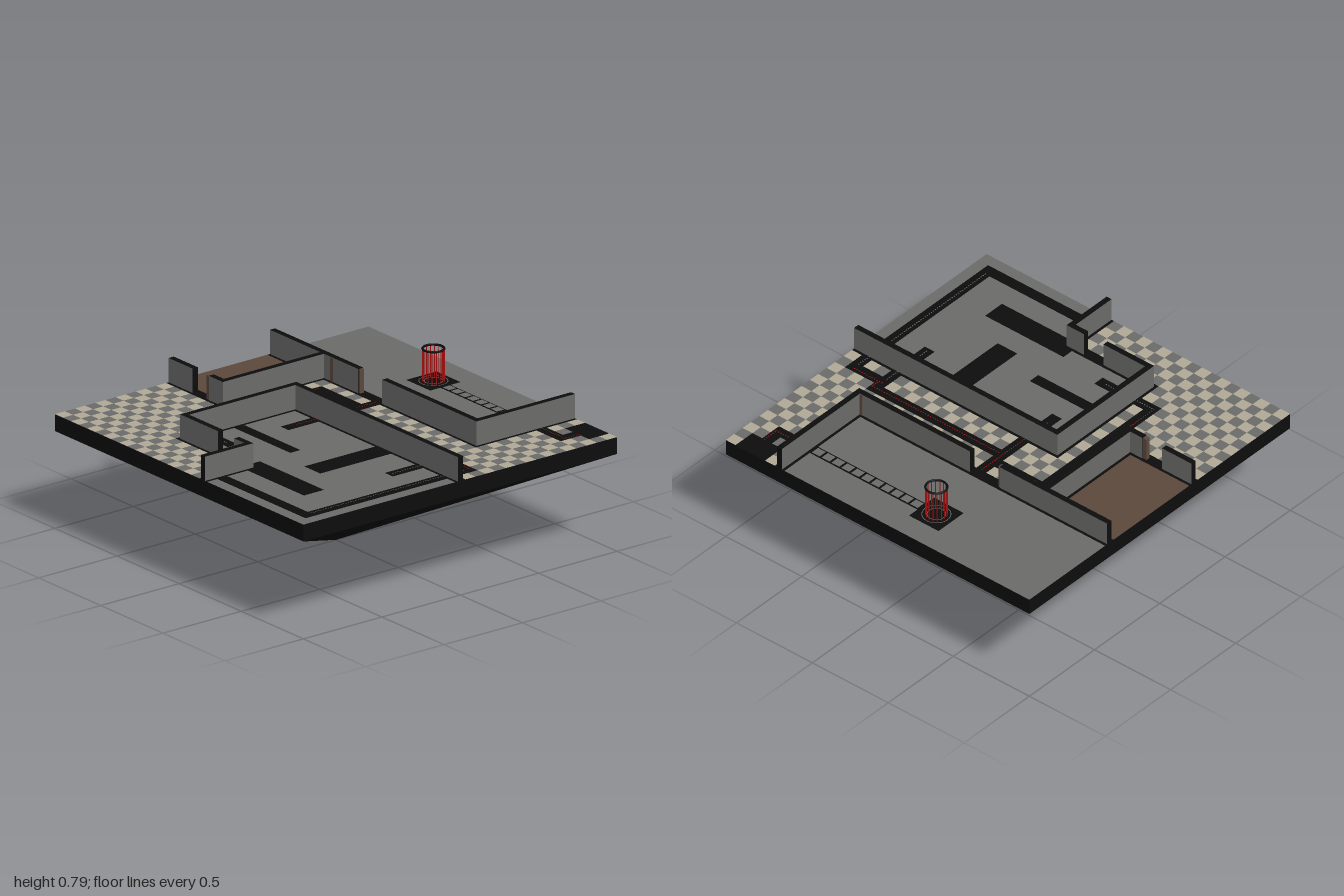
import * as THREE from 'three';
import { mergeGeometries } from 'three/addons/utils/BufferGeometryUtils.js';

const N = 31, CELL = 2 / N;            // floor grid
const FLOOR = 0.61, WALL_H = 0.13, BASE = 0.52;
const at = (c) => -1 + c * CELL;       // grid line to world coordinate

function makeMaterials() {
  const make = (name, color) => {
    const m = new THREE.MeshStandardMaterial({ color });
    m.name = name;
    return m;
  };
  return {
    black: make('black', 0x0d0d0d),
    gray: make('stone gray', 0x6b6b6a),
    cream: make('cream tile', 0xb0a995),
    brown: make('wood brown', 0x5c483d),
    red: make('wire red', 0xb00c0c),
  };
}

// Floor plan: colour key for every cell
function floorPlan() {
  const plan = Array.from({ length: N }, () => Array(N).fill('gray'));
  const fill = (c0, r0, c1, r1, key) => {
    for (let r = r0; r <= r1; r++) {
      for (let c = c0; c <= c1; c++) {
        plan[r][c] = key === 'check' ? ((r + c) % 2 ? 'gray' : 'cream') : key;
      }
    }
  };
  // chequered halls and the wooden room
  [[26, 0, 30, 9], [7, 10, 30, 14], [7, 15, 9, 19], [0, 20, 9, 30], [10, 27, 17, 30]]
    .forEach((a) => fill(...a, 'check'));
  fill(0, 10, 5, 18, 'brown');
  [
    // wall footings
    [0, 9, 25, 9], [25, 0, 25, 9], [6, 10, 6, 19], [0, 19, 6, 19],
    [10, 15, 30, 15], [10, 15, 10, 26], [10, 26, 18, 26], [18, 26, 18, 30],
    // channels
    [13, 10, 13, 18], [8, 11, 13, 11], [8, 11, 8, 24], [8, 24, 13, 24], [13, 12, 26, 12],
    [26, 12, 26, 18], [26, 13, 29, 13], [29, 13, 29, 29], [18, 29, 29, 29],
    [14, 3, 28, 3], [28, 2, 28, 3],
    // solid blocks
    [21, 16, 22, 22], [11, 21, 17, 21], [18, 25, 25, 26], [11, 2, 13, 4], [27, 0, 29, 1],
  ].forEach((a) => fill(...a, 'black'));
  return plan;
}

// Flat rectangle facing up
function plate(x0, z0, x1, z1, y) {
  return new THREE.PlaneGeometry(x1 - x0, z1 - z0)
    .rotateX(-Math.PI / 2).translate((x0 + x1) / 2, y, (z0 + z1) / 2);
}

export function createModel() {
  const mat = makeMaterials();
  const model = new THREE.Group();
  const add = (name, geometry, material, parent = model) => {
    const mesh = new THREE.Mesh(geometry, material);
    mesh.name = name;
    parent.add(mesh);
    return mesh;
  };
  const box = (x0, x1, y0, y1, z0, z1) => new THREE.BoxGeometry(x1 - x0, y1 - y0, z1 - z0)
    .translate((x0 + x1) / 2, (y0 + y1) / 2, (z0 + z1) / 2);

  // Slab and the inverted pyramid beneath it
  add('slab', box(-1, 1, BASE, FLOOR - 0.003, -1, 1), mat.black);
  const pyramid = new THREE.ConeGeometry(Math.SQRT2, BASE, 4, 1, true)
    .rotateY(Math.PI / 4).rotateX(Math.PI).translate(0, BASE / 2, 0).toNonIndexed();
  pyramid.computeVertexNormals();
  add('pyramid', pyramid, mat.black);

  // Floor tiles, one mesh per colour, joined in runs along each row
  const tiles = { black: [], gray: [], cream: [], brown: [] };
  floorPlan().forEach((row, r) => {
    for (let c = 0; c < N;) {
      let end = c + 1;
      while (end < N && row[end] === row[c]) end++;
      tiles[row[c]].push(plate(at(c), at(r), at(end), at(r + 1), FLOOR));
      c = end;
    }
  });
  for (const key in tiles) add(`${key}Floor`, mergeGeometries(tiles[key]), mat[key]);

  // Stepping squares along the channel to the cage
  const steps = [];
  for (let c = 14; c < 25; c++) {
    steps.push(plate(at(c + 0.1), at(3.13), at(c + 0.9), at(3.87), FLOOR + 0.002));
  }
  add('steppingSquares', mergeGeometries(steps), mat.gray);

  // Walls: gray sides, black tops, black free ends
  const walls = new THREE.Group();
  walls.name = 'walls';
  model.add(walls);
  const T = 0.25; // half thickness in cells
  const wall = (alongX, from, to, mid, startFree, endFree) => {
    const a = [at(from), at(to)], b = [at(mid - T), at(mid + T)];
    const geo = alongX
      ? box(...a, FLOOR, FLOOR + WALL_H, ...b)
      : box(...b, FLOOR, FLOOR + WALL_H, ...a);
    const s = startFree ? mat.black : mat.gray, e = endFree ? mat.black : mat.gray;
    const { gray: g, black: k } = mat;
    add('wall', geo, alongX ? [e, s, k, k, g, g] : [g, g, k, k, e, s], walls);
  };
  wall(true, 0, 11, 9.5, true, true);
  wall(true, 14, 25.75, 9.5, true, false);
  wall(true, 0, 3, 19.5, true, true);
  wall(true, 5, 6.75, 19.5, true, false);
  wall(true, 10.25, 31, 15.5, false, true);
  wall(true, 10.25, 15, 26.5, false, true);
  wall(true, 17, 18.75, 26.5, true, false);
  wall(false, 0, 9.25, 25.5, true, false);
  wall(false, 9.75, 19.25, 6.5, false, false);
  wall(false, 15.75, 26.25, 10.5, false, false);
  wall(false, 26.75, 31, 18.5, false, true);

  // Wooden door posts and wall strips
  const post = (x0, x1, z0, z1) => add('woodPost',
    box(x0, x1, FLOOR, FLOOR + WALL_H - 0.002, z0, z1), mat.brown);
  post(-0.701, -0.677, at(19.3), at(19.7));
  post(-0.29, -0.28, at(9.3), at(9.7));
  post(-0.513, -0.49, at(9.75), at(9.75) + 0.003);
  post(0.612, 0.628, at(9.25) - 0.003, at(9.25));

  // Dotted wires lying in the channels
  const dots = (name, material, runs) => {
    const parts = [];
    for (const [x0, z0, x1, z1] of runs) {
      const n = Math.round(Math.hypot(x1 - x0, z1 - z0) / 0.016);
      for (let i = 0; i <= n; i++) {
        const x = x0 + (x1 - x0) * i / n, z = z0 + (z1 - z0) * i / n;
        parts.push(plate(x - 0.0035, z - 0.0035, x + 0.0035, z + 0.0035, FLOOR + 0.002));
      }
    }
    add(name, mergeGeometries(parts), material);
  };
  dots('redWires', mat.red, [
    [-0.13, -0.35, -0.13, 0.15], [-0.462, -0.25, -0.462, 0.58], [-0.1, -0.19, 0.73, -0.19],
    [0.73, -0.18, 0.73, -0.15], [0.71, -0.14, 0.89, -0.14],
    [0.67, -0.78, 0.855, -0.78], [0.855, -0.87, 0.855, -0.79],
  ]);
  dots('grayWires', mat.gray, [
    [0.897, -0.1, 0.897, 0.87], [-0.45, 0.58, -0.15, 0.58], [0.71, -0.1, 0.71, 0.2],
  ]);

  // Round cage of thin rods under a ring
  const cage = new THREE.Group();
  cage.name = 'cage';
  cage.position.set(at(12.5), FLOOR, at(3.5));
  model.add(cage);
  const rods = [];
  for (let i = 0; i < 16; i++) {
    const a = i / 16 * Math.PI * 2;
    rods.push(new THREE.CylinderGeometry(0.0025, 0.0025, 0.17, 6)
      .translate(0.055 * Math.cos(a), 0.085, 0.055 * Math.sin(a)));
  }
  add('cageRods', mergeGeometries(rods), mat.red, cage);
  add('cageRing', new THREE.TorusGeometry(0.055, 0.006, 6, 32)
    .rotateX(Math.PI / 2).translate(0, 0.174, 0), mat.black, cage);
  for (const r of [0.047, 0.073]) {
    add('cageFloorRing', new THREE.RingGeometry(r - 0.002, r + 0.002, 32)
      .rotateX(-Math.PI / 2).translate(0, 0.002, 0), mat.gray, cage);
  }
  return model;
}
